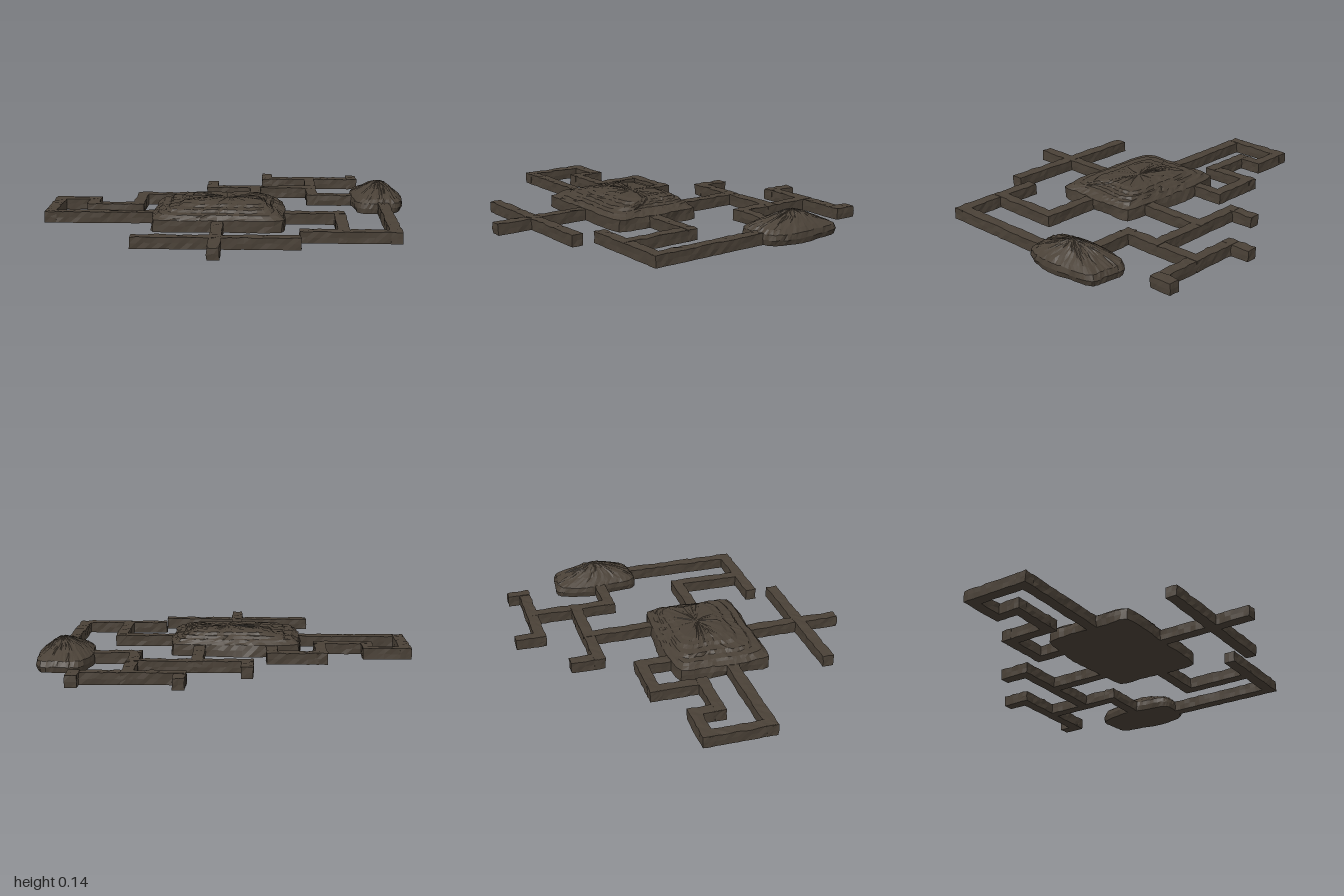
import * as THREE from 'three';

const W = 0.062, H = 0.061; // tunnel width and height

// Repeatable value in -1..1 from a position, so shared corners move together
function hash(x, y, z) {
  const q = v => Math.round(v * 1000);
  const s = Math.sin(q(x) * 12.9898 + q(y) * 78.233 + q(z) * 37.719) * 43758.5453;
  return 2 * (s - Math.floor(s)) - 1;
}

// Roughens all vertices a little, keeping the floor flat
function roughen(geo, amount) {
  const p = geo.attributes.position;
  for (let i = 0; i < p.count; i++) {
    const x = p.getX(i), y = p.getY(i), z = p.getZ(i);
    p.setXYZ(i,
      THREE.MathUtils.clamp(x + amount * hash(x, y, z), -1, 1),
      y < 0.001 ? 0 : y + amount * hash(z, x, y),
      z + amount * hash(y, z, x));
  }
  geo.computeVertexNormals();
  return geo;
}

// Rock mound from stacked rings: [x0, x1, z0, z1, y, squareness]
function mound(rings, shift) {
  const n = 72, pos = [], idx = [];
  rings.forEach(([x0, x1, z0, z1, y, k]) => {
    for (let i = 0; i < n; i++) {
      const a = (i / n) * Math.PI * 2, c = Math.cos(a), s = Math.sin(a);
      const r = Math.pow(Math.abs(c) ** k + Math.abs(s) ** k, -1 / k);
      const x = (x0 + x1) / 2 + (x1 - x0) / 2 * r * c;
      const z = (z0 + z1) / 2 + (z1 - z0) / 2 * r * s;
      const [dx, dz] = shift(a, y);
      pos.push(x + dx, y, z + dz);
    }
  });
  for (let j = 0; j < rings.length - 1; j++) {
    for (let i = 0; i < n; i++) {
      const a = j * n + i, b = j * n + (i + 1) % n;
      idx.push(a, a + n, b, b, a + n, b + n);
    }
  }
  // floor and crown caps
  const cap = (ring, up) => {
    const [x0, x1, z0, z1, y] = rings[ring], centre = pos.length / 3;
    pos.push((x0 + x1) / 2, y, (z0 + z1) / 2);
    for (let i = 0; i < n; i++) {
      const a = ring * n + i, b = ring * n + (i + 1) % n;
      if (up) idx.push(centre, b, a); else idx.push(centre, a, b);
    }
  };
  cap(0, false);
  cap(rings.length - 1, true);
  const geo = new THREE.BufferGeometry();
  geo.setAttribute('position', new THREE.Float32BufferAttribute(pos, 3));
  geo.setIndex(idx);
  return geo;
}

export function createModel() {
  const model = new THREE.Group();
  model.name = 'caveNetwork';
  const rock = new THREE.MeshStandardMaterial({ color: 0x4a4137, flatShading: true });
  const add = (name, geo, amount, parent = model) => {
    const mesh = new THREE.Mesh(roughen(geo, amount), rock);
    mesh.name = name;
    parent.add(mesh);
  };

  // Tunnels: centre-line paths of [x, z] corners
  const tunnels = {
    westTunnel: [[[-0.38, 0.15], [-0.967, 0.15], [-0.967, -0.177], [-0.767, -0.177],
      [-0.767, -0.048], [-0.507, -0.048], [-0.507, -0.31], [-0.243, -0.31], [-0.243, -0.1]]],
    southTunnel: [[[-0.045, 0.34], [-0.045, 0.873]], [[-0.44, 0.677], [0.355, 0.677]]],
    eastTunnel: [[[0.28, 0.15], [0.61, 0.15], [0.61, 0.545]],
      [[0.41, 0.545], [0.873, 0.545], [0.873, -0.12]]],
    northTunnel: [[[0.15, -0.1], [0.15, -0.51]],
      [[-0.11, -0.637], [-0.11, -0.51], [0.48, -0.51]],
      [[0.74, -0.31], [0.48, -0.31], [0.48, -0.77]],
      [[0.22, -0.877], [0.22, -0.77], [0.745, -0.77], [0.745, -0.835]]],
  };
  for (const [name, paths] of Object.entries(tunnels)) {
    const group = new THREE.Group();
    group.name = name;
    for (const path of paths) {
      for (let i = 0; i < path.length - 1; i++) {
        const [ax, az] = path[i], [bx, bz] = path[i + 1];
        const w = Math.abs(bx - ax) + W, d = Math.abs(bz - az) + W;
        const seg = v => Math.max(2, Math.round(v / 0.035));
        const geo = new THREE.BoxGeometry(w, H, d, seg(w), 2, seg(d));
        geo.translate((ax + bx) / 2, H / 2, (az + bz) / 2);
        add('tunnelSegment', geo, 0.003, group);
      }
    }
    model.add(group);
  }

  // Great chamber: squarish, terraced roof, bulging on its back wall
  add('greatChamber', mound([
    [-0.40, 0.31, -0.14, 0.375, 0, 20],
    [-0.405, 0.312, -0.14, 0.375, 0.035, 20],
    [-0.40, 0.31, -0.14, 0.375, 0.064, 20],
    [-0.375, 0.29, -0.128, 0.362, 0.076, 14],
    [-0.36, 0.275, -0.12, 0.352, 0.088, 12],
    [-0.32, 0.25, -0.11, 0.315, 0.092, 10],
    [-0.305, 0.24, -0.10, 0.30, 0.106, 9],
    [-0.255, 0.215, -0.09, 0.25, 0.109, 8],
    [-0.235, 0.205, -0.08, 0.235, 0.121, 7],
    [-0.20, 0.19, -0.055, 0.21, 0.124, 6],
    [-0.18, 0.175, -0.04, 0.19, 0.131, 6],
    [-0.08, 0.08, 0.03, 0.12, 0.132, 4],
  ], (a, y) => {
    const fade = Math.max(0, 1 - y / 0.13);
    const back = Math.exp(-(((a - 4.6) / 0.45) ** 2));
    return [0.006 * Math.sin(5 * a + 40 * y), -0.035 * back * fade + 0.004 * Math.sin(7 * a)];
  }), 0.003);

  // Small chamber: long rounded dome with a central peak
  add('smallChamber', mound([
    [0.71, 0.985, -0.555, -0.085, 0, 4.5],
    [0.705, 0.995, -0.56, -0.08, 0.03, 4.5],
    [0.71, 0.99, -0.545, -0.085, 0.058, 4.5],
    [0.735, 0.97, -0.50, -0.105, 0.078, 4],
    [0.76, 0.95, -0.46, -0.14, 0.095, 3.5],
    [0.785, 0.93, -0.42, -0.19, 0.112, 3],
    [0.81, 0.91, -0.385, -0.235, 0.128, 3],
    [0.84, 0.885, -0.345, -0.275, 0.141, 2],
  ], (a, y) => {
    const fade = Math.max(0, 1 - y / 0.15);
    return [0.01 * fade * Math.sin(5 * a + 1), 0.007 * fade * Math.sin(4 * a)];
  }), 0.003);

  return model;
}
